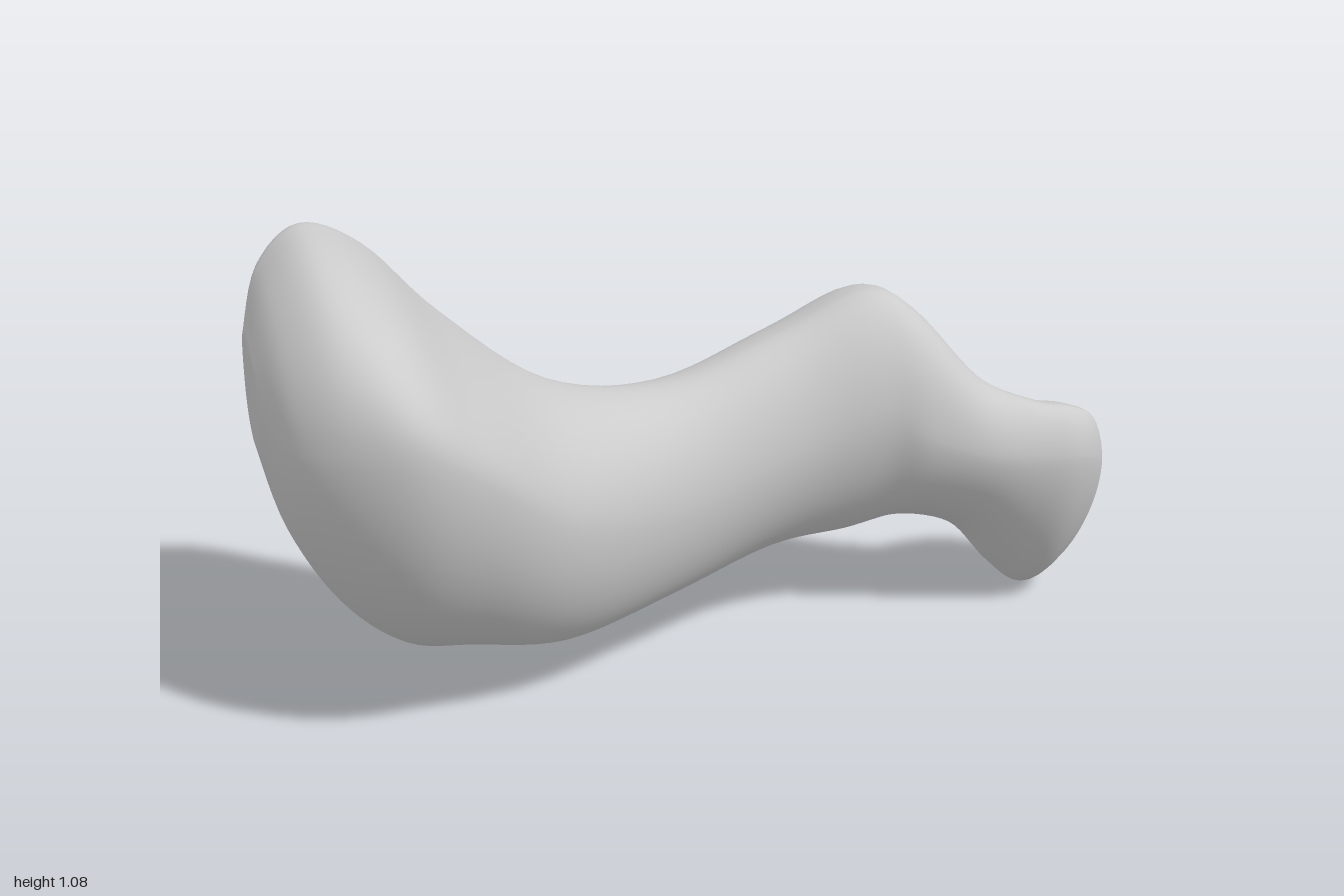
import * as THREE from 'three';

// Cross-sections along x, each given by its four extreme points:
// x, top y, top z, bottom y, bottom z, front z, front y, back z, back y
const SECTIONS = [
  [-1.0, 0.88, -0.08, 0.66, 0.0, 0.1, 0.77, -0.12, 0.77],
  [-0.95, 1.0, -0.17, 0.47, 0.0, 0.265, 0.74, -0.265, 0.74],
  [-0.85, 1.075, -0.19, 0.29, 0.0, 0.38, 0.76, -0.36, 0.70],
  [-0.72, 1.02, -0.18, 0.175, 0.0, 0.435, 0.76, -0.385, 0.66],
  [-0.57, 0.87, -0.12, 0.145, 0.0, 0.385, 0.66, -0.325, 0.54],
  [-0.35, 0.715, -0.05, 0.117, 0.0, 0.25, 0.48, -0.23, 0.40],
  [-0.08, 0.67, -0.08, 0.148, -0.08, 0.10, 0.43, -0.29, 0.37],
  [0.2, 0.75, -0.11, 0.18, -0.22, 0.03, 0.50, -0.40, 0.34],
  [0.41, 0.835, -0.11, 0.168, -0.31, 0.045, 0.57, -0.44, 0.29],
  [0.52, 0.79, -0.07, 0.225, -0.23, 0.08, 0.52, -0.355, 0.34],
  [0.66, 0.63, 0.0, 0.205, -0.15, 0.11, 0.47, -0.25, 0.31],
  [0.78, 0.575, 0.05, 0.075, -0.17, 0.12, 0.45, -0.245, 0.19],
  [0.87, 0.555, 0.06, 0.0, -0.18, 0.118, 0.44, -0.285, 0.15],
  [0.94, 0.515, 0.04, 0.04, -0.18, 0.085, 0.42, -0.275, 0.16],
  [0.98, 0.42, 0.0, 0.11, -0.17, 0.03, 0.37, -0.235, 0.19],
  [1.0, 0.28, -0.08, 0.2, -0.13, -0.07, 0.25, -0.14, 0.23],
];
const STEPS = 6, SIDES = 64;

// Smooth interpolation of a whole cross-section
function sectionAt(t) {
  const i = Math.min(Math.floor(t), SECTIONS.length - 2), f = t - i;
  const at = (k) => SECTIONS[THREE.MathUtils.clamp(k, 0, SECTIONS.length - 1)];
  const [a, b, c, d] = [at(i - 1), at(i), at(i + 1), at(i + 2)];
  return b.map((p, k) => {
    const m0 = (c[k] - a[k]) / 2, m1 = (d[k] - p) / 2;
    return p + f * (m0 + f * (3 * (c[k] - p) - 2 * m0 - m1 + f * (2 * (p - c[k]) + m0 + m1)));
  });
}

// Fullness of a quadrant: below 1 is boxier, above 1 is flatter
function fullness(x, up, front) {
  const head = 1 - THREE.MathUtils.smoothstep(x, -0.7, -0.2);
  const tip = THREE.MathUtils.smoothstep(x, 0.45, 0.8);
  if (up) return front ? 1 - 0.1 * head : 1 - 0.14 * head + 0.18 * tip;
  return front ? 1.08 + 0.07 * head + 0.2 * tip : 0.94 + 0.04 * tip;
}

// Point on the section outline: each quadrant is a squashed quarter ellipse
function outline(sec, angle) {
  const [x, yTop, zTop, yBot, zBot, zFront, yFront, zBack, yBack] = sec;
  const c = Math.cos(angle), s = Math.sin(angle);
  const up = s >= 0, front = c >= 0;
  const e = fullness(x, up, front);
  const z0 = up ? zTop : zBot, y0 = front ? yFront : yBack;
  const z = z0 + ((front ? zFront : zBack) - z0) * Math.abs(c) ** e;
  const y = y0 + ((up ? yTop : yBot) - y0) * Math.abs(s) ** e;
  return [x, y, z];
}

function loftGeometry() {
  const pos = [], index = [];
  const rows = (SECTIONS.length - 1) * STEPS;
  for (let i = 0; i <= rows; i++) {
    const sec = sectionAt(i / STEPS);
    for (let j = 0; j < SIDES; j++) pos.push(...outline(sec, (j / SIDES) * Math.PI * 2));
  }
  for (let i = 0; i < rows; i++) {
    for (let j = 0; j < SIDES; j++) {
      const n = (j + 1) % SIDES;
      const a = i * SIDES + j, b = a + SIDES, c = (i + 1) * SIDES + n, d = i * SIDES + n;
      index.push(a, b, d, b, c, d);
    }
  }
  // Close both ends
  for (const row of [0, rows]) {
    const sec = sectionAt(row / STEPS), centre = pos.length / 3;
    pos.push(sec[0], (sec[1] + sec[3]) / 2, (sec[5] + sec[7]) / 2);
    for (let j = 0; j < SIDES; j++) {
      const a = row * SIDES + j, b = row * SIDES + ((j + 1) % SIDES);
      if (row === 0) index.push(centre, a, b);
      else index.push(centre, b, a);
    }
  }
  const geo = new THREE.BufferGeometry();
  geo.setAttribute('position', new THREE.Float32BufferAttribute(pos, 3));
  geo.setIndex(index);
  geo.computeVertexNormals();
  return geo;
}

export function createModel() {
  const group = new THREE.Group();
  group.name = 'bone';
  // One continuous body: broad head, narrow shaft, knuckle and small tip
  const body = new THREE.Mesh(loftGeometry(), new THREE.MeshStandardMaterial({ color: 0xcccccc }));
  body.name = 'boneBody';
  group.add(body);
  return group;
}
